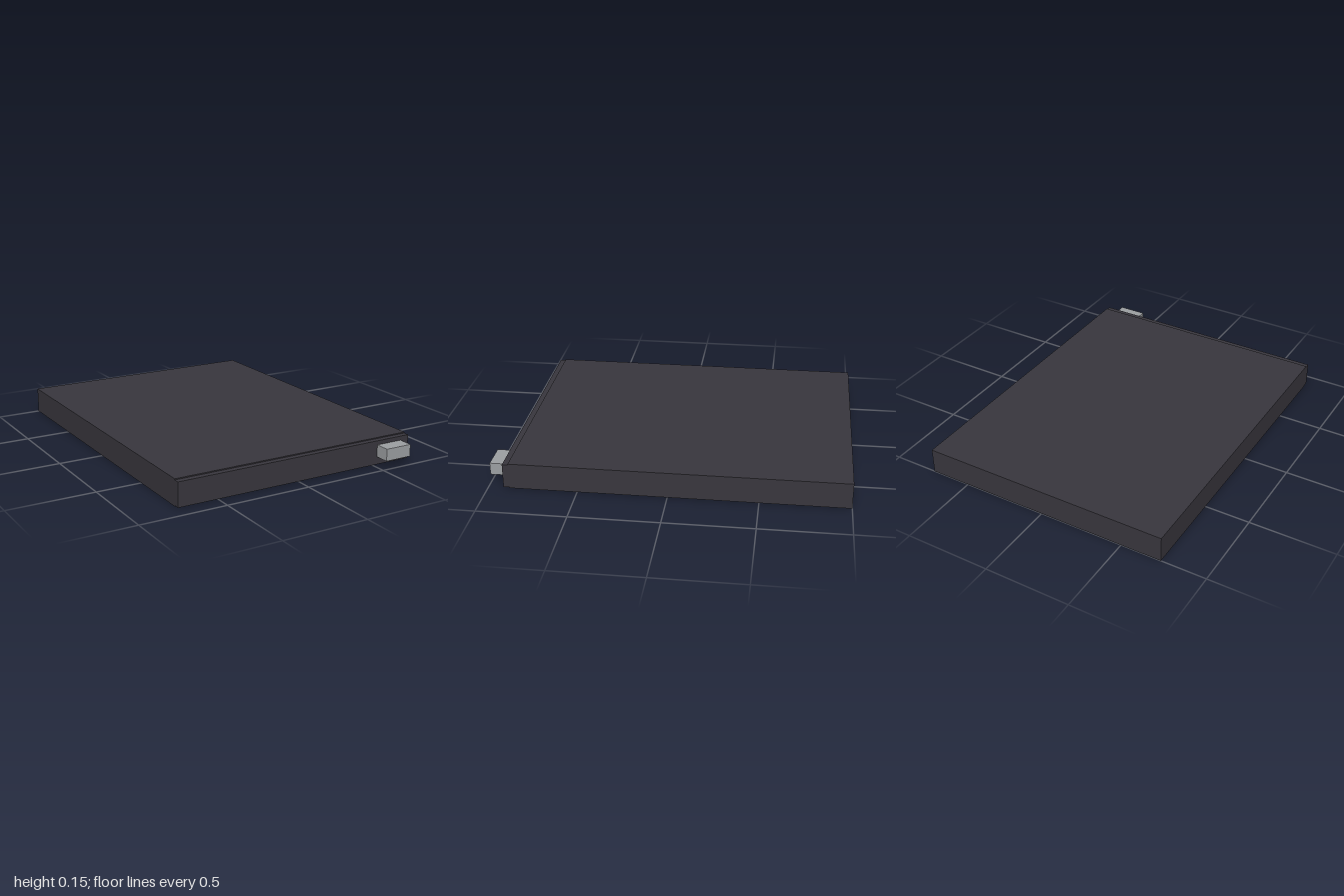
import * as THREE from 'three';

export function createModel() {
  const group = new THREE.Group();
  const casing = new THREE.MeshStandardMaterial({ color: 0x38363d });
  casing.name = 'charcoal casing';
  const metal = new THREE.MeshStandardMaterial({ color: 0x9c9fa2 });
  metal.name = 'grey metal';

  // Box given by its low and high corners
  function box(name, material, [x0, y0, z0], [x1, y1, z1]) {
    const mesh = new THREE.Mesh(new THREE.BoxGeometry(x1 - x0, y1 - y0, z1 - z0), material);
    mesh.position.set((x0 + x1) / 2, (y0 + y1) / 2, (z0 + z1) / 2);
    mesh.name = name;
    group.add(mesh);
  }

  // Flat main casing
  box('casing', casing, [-0.738, 0, -1], [0.738, 0.15, 0.882]);
  // Front panel, stepped in slightly at top and bottom
  box('frontPanel', casing, [-0.738, 0.005, 0.882], [0.738, 0.144, 0.915]);
  // Connector sticking out of the front
  box('connector', metal, [0.52, 0.05, 0.915], [0.685, 0.12, 1]);

  return group;
}
